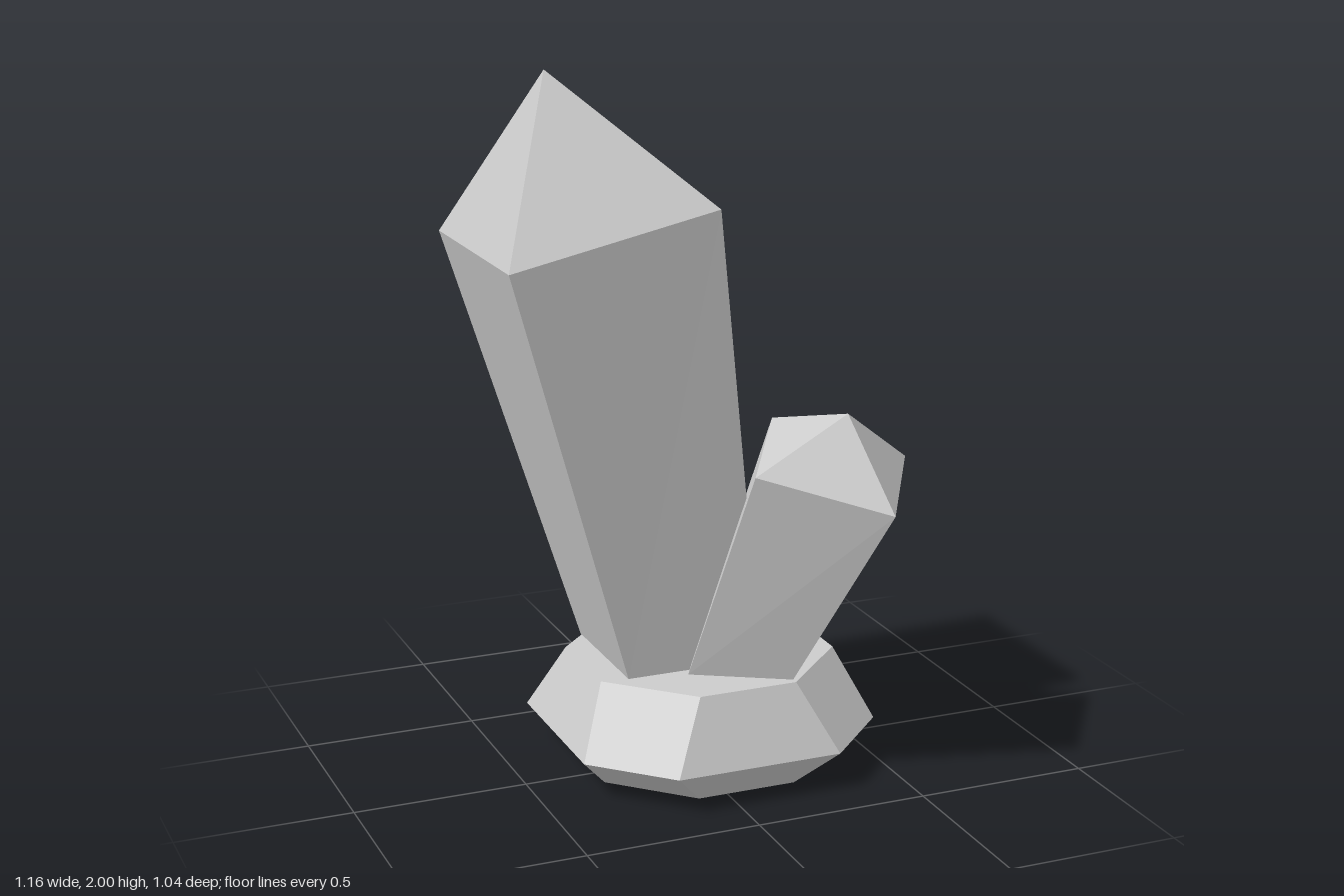
import * as THREE from 'three';

// Faceted solid through rings of corners (counter-clockwise seen from above), closed at both ends.
// The top closes on the given apex, or flat when there is none.
function loft(name, rings, apex) {
  const pos = [];
  const tri = (...corners) => corners.forEach((c) => pos.push(...c));
  const n = rings[0].length;
  for (let r = 0; r < rings.length - 1; r++) {
    const low = rings[r], high = rings[r + 1];
    for (let i = 0; i < n; i++) {
      const j = (i + 1) % n;
      tri(low[i], low[j], high[j]);
      tri(low[i], high[j], high[i]);
    }
  }
  const bottom = rings[0], top = rings[rings.length - 1];
  for (let i = 1; i < n - 1; i++) {
    tri(bottom[0], bottom[i + 1], bottom[i]);
    if (!apex) tri(top[0], top[i], top[i + 1]);
  }
  if (apex) for (let i = 0; i < n; i++) tri(top[i], top[(i + 1) % n], apex);

  const geometry = new THREE.BufferGeometry();
  geometry.setAttribute('position', new THREE.Float32BufferAttribute(pos, 3));
  geometry.computeVertexNormals();
  const mesh = new THREE.Mesh(geometry, new THREE.MeshStandardMaterial({ color: 0xcccccc, flatShading: true }));
  mesh.name = name;
  return mesh;
}

// Octagon: a = distance to the straight sides, h = half their length
function octagon(y, a, h, cx = 0.06, cz = -0.073) {
  return [[a, h], [a, -h], [h, -a], [-h, -a], [-a, -h], [-a, h], [-h, a], [h, a]]
    .map(([x, z]) => [cx + x, y, cz + z]);
}

export function createModel() {
  const group = new THREE.Group();
  group.name = 'crystalCluster';

  // Bevelled stone base
  group.add(loft('base', [
    octagon(0, 0.35, 0.145),
    octagon(0.11, 0.446, 0.243),
    octagon(0.307, 0.358, 0.145),
  ]));

  // Tall crystal, leaning right and widening upward
  group.add(loft('tallCrystal', [
    [[0.185, 0.307, 0.085], [0.185, 0.307, -0.305], [-0.22, 0.307, -0.305], [-0.22, 0.307, 0.085]],
    [[0.012, 1.647, 0.193], [0.012, 1.647, -0.418], [-0.585, 1.52, -0.418], [-0.585, 1.52, 0.193]],
  ], [-0.375, 2, -0.112]));

  // Short crystal, leaning forward and left, twisted about its axis
  group.add(loft('shortCrystal', [
    [[0.205, 0.307, 0.265], [0.345, 0.307, 0], [0.086, 0.307, -0.148], [-0.052, 0.307, 0.117]],
    [[0.385, 0.84, 0.517], [0.58, 0.897, 0.187], [0.25, 0.997, 0.005], [0.053, 0.937, 0.337]],
  ], [0.342, 1.077, 0.304]));

  return group;
}
